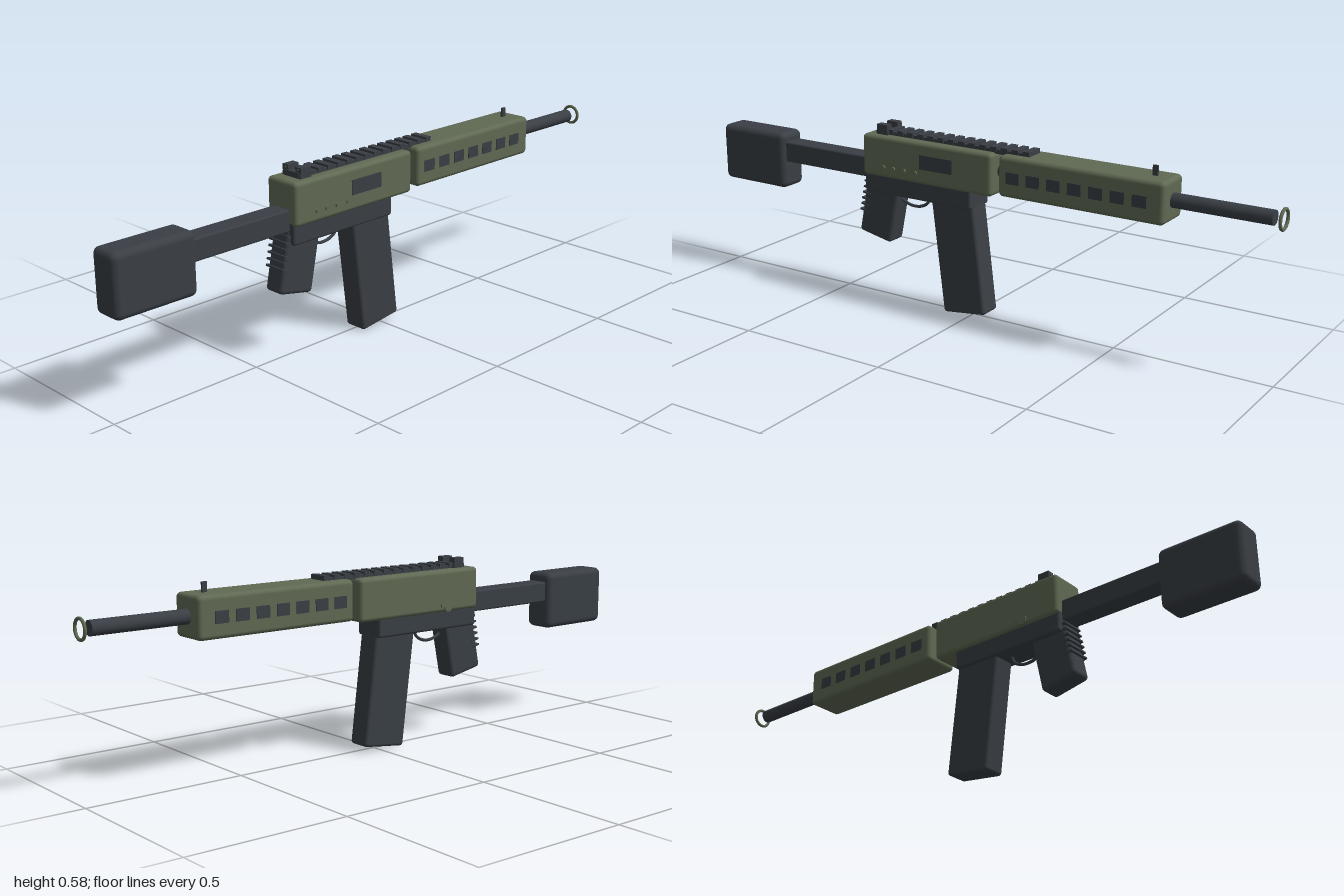
import * as THREE from 'three';
import { RoundedBoxGeometry } from 'three/addons/geometries/RoundedBoxGeometry.js';

const olive = new THREE.MeshStandardMaterial({ color: 0x606a53 });
olive.name = 'olive';
const dark = new THREE.MeshStandardMaterial({ color: 0x3a3f45 });
dark.name = 'charcoal';

function add(parent, name, geometry, material, x, y, z) {
  const mesh = new THREE.Mesh(geometry, material);
  mesh.name = name;
  mesh.position.set(x, y, z);
  parent.add(mesh);
  return mesh;
}

const rounded = (w, h, d, r) => new RoundedBoxGeometry(w, h, d, 3, r);

// Rounded block from its width and its y and z ranges
function block(parent, name, material, w, y0, y1, z0, z1, r) {
  return add(parent, name, rounded(w, y1 - y0, z1 - z0, r), material,
    0, (y0 + y1) / 2, (z0 + z1) / 2);
}

// Disc or rod lying along x
const rodX = (r, len) => new THREE.CylinderGeometry(r, r, len, 20).rotateZ(Math.PI / 2);
// Disc or rod lying along z
const rodZ = (r, len) => new THREE.CylinderGeometry(r, r, len, 28).rotateX(Math.PI / 2);

export function createModel() {
  const model = new THREE.Group();
  model.name = 'rifle';
  const body = new THREE.Group();
  body.name = 'body';
  body.position.x = -0.002;
  model.add(body);

  // Main body and stock
  block(body, 'upperReceiver', olive, 0.122, 0.417, 0.551, -0.1, 0.385, 0.013);
  block(body, 'lowerReceiver', dark, 0.104, 0.36, 0.43, -0.02, 0.385, 0.008);
  block(body, 'handguard', olive, 0.124, 0.426, 0.553, -0.67, -0.125, 0.014);
  block(body, 'stockTube', dark, 0.068, 0.4, 0.468, 0.37, 0.76, 0.006);
  block(body, 'stock', dark, 0.1, 0.308, 0.498, 0.73, 1.0, 0.02);

  // Barrel and muzzle ring
  add(body, 'barrel', rodZ(0.022, 0.88), dark, 0, 0.49, -0.53);
  add(body, 'muzzleRing', new THREE.TorusGeometry(0.029, 0.005, 10, 36), olive, 0, 0.49, -0.995);

  // Magazine, leaning forward at the bottom
  const magazine = new THREE.Group();
  magazine.name = 'magazine';
  magazine.position.set(0, 0.01, 0.013);
  magazine.rotation.x = 0.125;
  body.add(magazine);
  add(magazine, 'magazineBody', rounded(0.078, 0.41, 0.155, 0.01), dark, 0, 0.205, 0);

  // Grip, leaning back at the bottom, with ridges on its rear
  const grip = new THREE.Group();
  grip.name = 'grip';
  grip.position.set(0, 0.203, 0.364);
  grip.rotation.x = -0.2;
  body.add(grip);
  add(grip, 'gripBody', rounded(0.072, 0.2, 0.126, 0.012), dark, 0, 0.1, 0);
  for (let i = 0; i < 6; i++) {
    add(grip, 'gripRidge', new THREE.BoxGeometry(0.076, 0.006, 0.03), dark,
      0, 0.075 + i * 0.02, 0.055);
  }

  // Trigger guard
  const guardCurve = new THREE.CatmullRomCurve3([
    [0.365, 0.285], [0.335, 0.27], [0.322, 0.235], [0.325, 0.2], [0.34, 0.175], [0.365, 0.165],
  ].map(([y, z]) => new THREE.Vector3(0, y, z)));
  add(body, 'triggerGuard', new THREE.TubeGeometry(guardCurve, 24, 0.005, 8), dark, 0, 0, 0);

  // Vents along both sides of the handguard
  for (const side of [-1, 1]) {
    for (let i = 0; i < 7; i++) {
      add(body, 'vent', new THREE.BoxGeometry(0.006, 0.036, 0.045), dark,
        side * 0.0615, 0.489, -0.178 - i * 0.0695);
    }
  }

  // Ejection port and pins on the left
  add(body, 'ejectionPort', new THREE.BoxGeometry(0.008, 0.046, 0.122), dark, 0.0605, 0.49, 0.1);
  for (const z of [0.302, 0.263, 0.222, 0.178]) {
    add(body, 'pin', rodX(0.007, 0.012), olive, 0.061, 0.452, z);
  }

  // Selector on the right
  add(body, 'selectorPivot', rodX(0.016, 0.01), olive, -0.0605, 0.434, 0.255);
  add(body, 'selectorLever', new THREE.BoxGeometry(0.006, 0.01, 0.034), olive, -0.0625, 0.438, 0.243);

  // Toothed top rail
  add(body, 'railBase', new THREE.BoxGeometry(0.058, 0.014, 0.56), dark, 0, 0.554, 0.065);
  for (let i = 0; i < 15; i++) {
    add(body, 'railTooth', new THREE.BoxGeometry(0.064, 0.014, 0.022), dark, 0, 0.561, -0.205 + i * 0.0385);
  }

  // Rear sight with two posts and aiming dots
  add(body, 'rearSightBase', new THREE.BoxGeometry(0.076, 0.014, 0.044), dark, 0, 0.556, 0.322);
  for (const side of [-1, 1]) {
    add(body, 'rearSightPost', new THREE.BoxGeometry(0.024, 0.034, 0.04), dark, side * 0.027, 0.566, 0.322);
    add(body, 'sightDot', rodZ(0.003, 0.004), olive, side * 0.026, 0.576, 0.342);
  }

  // Front sight post
  add(body, 'frontSight', new THREE.BoxGeometry(0.007, 0.036, 0.016), dark, 0, 0.565, -0.612);

  return model;
}
